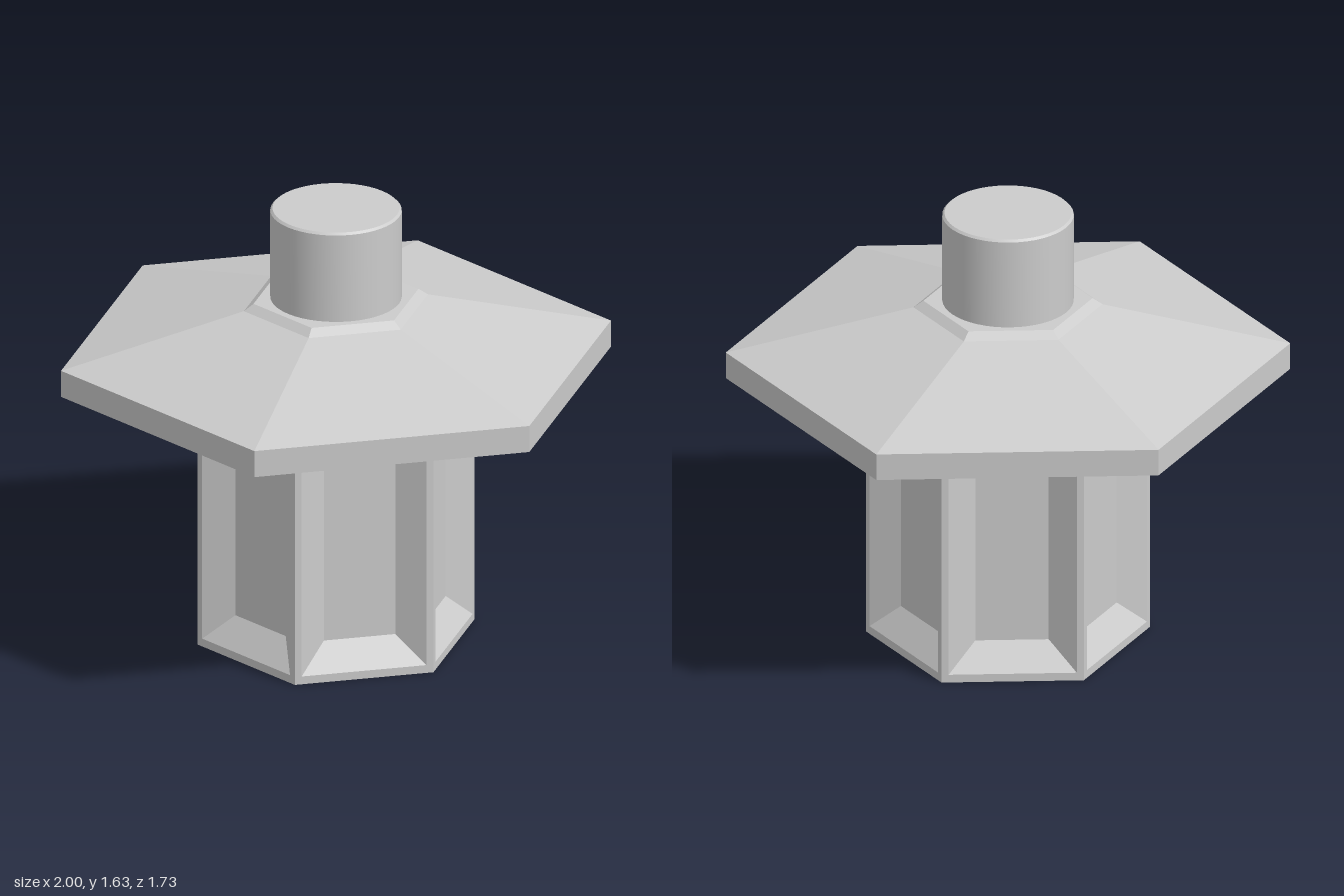
import * as THREE from 'three';
import { toCreasedNormals } from 'three/addons/utils/BufferGeometryUtils.js';

const flatGrey = new THREE.MeshStandardMaterial({ color: 0xcccccc, flatShading: true });
const thinGrey = new THREE.MeshStandardMaterial({ color: 0xcccccc, flatShading: true, side: THREE.DoubleSide });
const smoothGrey = new THREE.MeshStandardMaterial({ color: 0xcccccc });

const profile = (pairs) => pairs.map(([r, y]) => new THREE.Vector2(r, y));

// Wall sheet: rectangular loops stepping from the frame into the recess
function wallGeometry(loops) {
  const positions = [];
  const indices = [];
  for (const [halfWidth, bottom, top, z] of loops) {
    positions.push(-halfWidth, bottom, z, halfWidth, bottom, z, halfWidth, top, z, -halfWidth, top, z);
  }
  for (let l = 0; l < loops.length - 1; l++) {
    for (let i = 0; i < 4; i++) {
      const a = l * 4 + i;
      const b = l * 4 + (i + 1) % 4;
      indices.push(a, b, b + 4, a, b + 4, a + 4);
    }
  }
  const last = (loops.length - 1) * 4;
  indices.push(last, last + 1, last + 2, last, last + 2, last + 3);
  const geometry = new THREE.BufferGeometry();
  geometry.setAttribute('position', new THREE.Float32BufferAttribute(positions, 3));
  geometry.setIndex(indices);
  geometry.computeVertexNormals();
  return geometry;
}

export function createModel() {
  const model = new THREE.Group();
  model.name = 'lantern';

  // Hollow hexagonal body, open below, with a recessed panel on each side
  const radius = 0.504;
  const apothem = radius * Math.cos(Math.PI / 6);
  const wall = wallGeometry([
    [radius / 2, 0, 1, apothem],
    [0.227, 0.03, 0.975, apothem],
    [0.13, 0.13, 0.88, apothem - 0.07],
  ]);
  const body = new THREE.Group();
  body.name = 'body';
  for (let i = 0; i < 6; i++) {
    const panel = new THREE.Mesh(wall, thinGrey);
    panel.name = 'wallPanel';
    panel.rotation.y = i * Math.PI / 3;
    body.add(panel);
  }
  model.add(body);

  // Six-sided roof with a rim, a shallow slope and a bevelled collar
  const roofProfile = profile([[0, 1], [1, 1], [1, 1.1], [0.335, 1.265], [0.3, 1.29], [0, 1.29]]);
  const roof = new THREE.Mesh(new THREE.LatheGeometry(roofProfile, 6, Math.PI / 6), flatGrey);
  roof.name = 'roof';
  model.add(roof);

  // Round core running from inside the body up through the roof
  const coreProfile = profile([[0, 0.3], [0.225, 0.3], [0.233, 0.308], [0.233, 1.622], [0.225, 1.63], [0, 1.63]]);
  const core = new THREE.Mesh(toCreasedNormals(new THREE.LatheGeometry(coreProfile, 48), 0.6), smoothGrey);
  core.name = 'core';
  model.add(core);

  return model;
}
